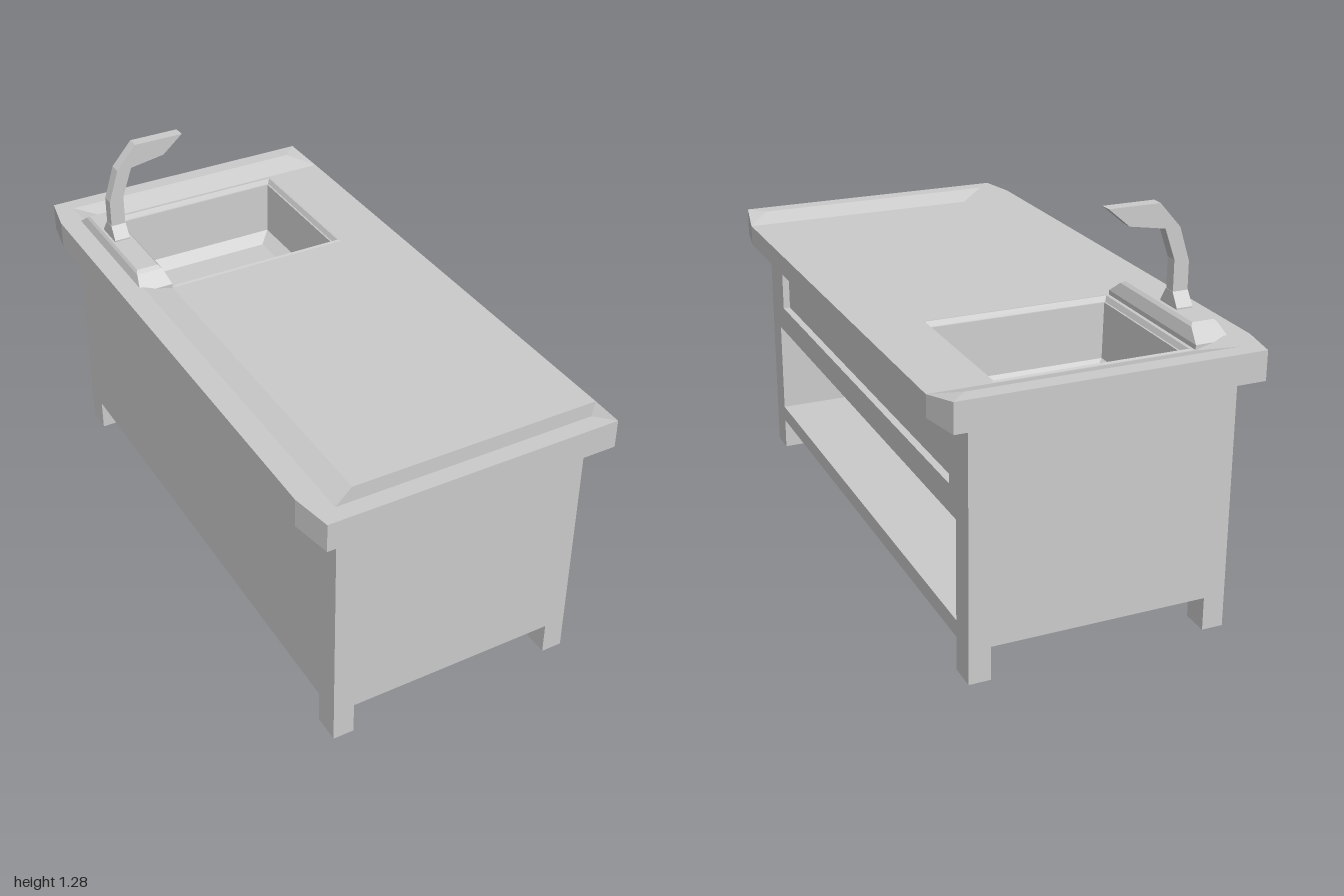
import * as THREE from 'three';
import { mergeGeometries } from 'three/addons/utils/BufferGeometryUtils.js';

const material = new THREE.MeshStandardMaterial({ color: 0xcccccc, flatShading: true });

function add(group, name, geometry) {
  const mesh = new THREE.Mesh(geometry, material);
  mesh.name = name;
  group.add(mesh);
  return mesh;
}

// box given by its limits on each axis
function box(group, name, [x0, x1], [y0, y1], [z0, z1]) {
  const mesh = add(group, name, new THREE.BoxGeometry(x1 - x0, y1 - y0, z1 - z0));
  mesh.position.set((x0 + x1) / 2, (y0 + y1) / 2, (z0 + z1) / 2);
}

// flat faces, corners anticlockwise as seen from outside
function faces(polygons) {
  const p = [];
  for (const f of polygons)
    for (let i = 1; i < f.length - 1; i++) p.push(...f[0], ...f[i], ...f[i + 1]);
  const g = new THREE.BufferGeometry();
  g.setAttribute('position', new THREE.Float32BufferAttribute(p, 3));
  g.computeVertexNormals();
  return g;
}

// skin between rectangular rings [x0, x1, y, z0, z1], closed at the last ring
function loft(rings) {
  const loops = rings.map(([x0, x1, y, z0, z1]) =>
    [[x0, y, z1], [x1, y, z1], [x1, y, z0], [x0, y, z0]]);
  const out = [loops[loops.length - 1]];
  for (let r = 0; r < loops.length - 1; r++)
    for (let k = 0; k < 4; k++) {
      const n = (k + 1) % 4;
      out.push([loops[r][k], loops[r][n], loops[r + 1][n], loops[r + 1][k]]);
    }
  return faces(out);
}

const points = (list) => list.map(([x, y]) => new THREE.Vector2(x, y));
const rect = (x0, x1, y0, y1) => points([[x0, y0], [x1, y0], [x1, y1], [x0, y1]]);

function shapeOf(outline, ...holes) {
  const s = new THREE.Shape(outline);
  holes.forEach((h) => s.holes.push(new THREE.Path(h)));
  return s;
}

// side profile (across, up) extruded along x from x0 to x1
function sideExtrude(shape, x0, x1) {
  return new THREE.ExtrudeGeometry(shape, { depth: x1 - x0, bevelEnabled: false })
    .rotateY(Math.PI / 2).translate(x0, 0, 0);
}

const SINK = { x0: -0.325, x1: 0.315, z0: -0.86, z1: -0.325 };

function buildCabinet() {
  const g = new THREE.Group();
  g.name = 'cabinet';
  const shelf = rect(-0.855, 0.855, 0.165, 0.49);
  const drawer = rect(-0.805, 0.805, 0.58, 0.78);
  add(g, 'openFrame', sideExtrude(shapeOf(rect(-0.945, 0.945, 0.11, 0.82), shelf, drawer), 0.395, 0.42));
  add(g, 'shelfCompartment', sideExtrude(shapeOf(rect(-0.945, 0.945, 0.11, 0.58), shelf), -0.395, 0.395));
  box(g, 'backPanel', [-0.425, -0.395], [0.11, 0.82], [-0.945, 0.945]);
  box(g, 'drawerPanel', [0.38, 0.396], [0.57, 0.8], [-0.83, 0.83]);
  for (const s of [-1, 1]) {
    box(g, 'endPanel', [-0.395, 0.395], [0.58, 0.82], [s * 0.93 - 0.015, s * 0.93 + 0.015]);
    for (const x of [-0.425, 0.35])
      box(g, 'leg', [x, x + 0.07], [0, 0.11], [s * 0.9 - 0.045, s * 0.9 + 0.045]);
  }
  return g;
}

function buildCountertop() {
  const hi = 0.915, lo = 0.89, base = 0.82, zc = 0.865;
  const outline = [[-0.485, hi, 1], [0.485, hi, 1], [0.51, lo, zc], [0.51, lo, -zc],
    [0.485, hi, -1], [-0.485, hi, -1], [-0.51, hi, -zc], [-0.51, hi, zc]];
  const polys = outline.map((a, i) => {
    const b = outline[(i + 1) % outline.length];
    return [[a[0], base, a[2]], [b[0], base, b[2]], b, a];
  });
  // raised rim and slope at both ends
  for (const s of [1, -1]) {
    const F = [-0.485, hi, s], E = [0.485, hi, s], D = [0.51, lo, s * zc], G = [-0.51, hi, s * zc];
    const mL = [-0.43, hi, s * 0.945], mR = [0.43, hi, s * 0.945], inner = [-0.33, lo, s * zc];
    for (const f of [[F, E, mR, mL], [mL, mR, D, inner], [E, D, mR], [G, F, mL]])
      polys.push(s > 0 ? f : f.reverse());
  }
  // raised rim and slope along the closed side
  polys.push([[-0.51, hi, -zc], [-0.51, hi, zc], [-0.43, hi, 0.945], [-0.43, hi, -0.945]]);
  polys.push([[-0.43, hi, -0.945], [-0.43, hi, 0.945], [-0.33, lo, zc], [-0.33, lo, -zc]]);

  // worktop and underside, both open for the basin
  const { x0, x1, z0, z1 } = SINK;
  const top = new THREE.ShapeGeometry(shapeOf(rect(-0.33, 0.51, -zc, zc), rect(x0, x1, -z1, -z0)))
    .rotateX(-Math.PI / 2).translate(0, lo, 0);
  const under = new THREE.ShapeGeometry(
    shapeOf(points(outline.map((p) => [p[0], p[2]])), rect(x0, x1, z0, z1)))
    .rotateX(Math.PI / 2).translate(0, base, 0);
  const parts = [faces(polys), top.toNonIndexed(), under.toNonIndexed()];
  parts.forEach((p) => p.deleteAttribute('uv'));
  return mergeGeometries(parts);
}

function buildSink() {
  const g = new THREE.Group();
  g.name = 'sink';
  const { x0, x1, z0, z1 } = SINK;
  // lip, walls, sloped foot and floor as [inset, height]
  const steps = [[0, 0.89], [0.01, 0.892], [0.018, 0.875], [0.024, 0.875], [0.032, 0.69], [0.075, 0.66]];
  add(g, 'basin', loft(steps.map(([d, y]) => [x0 + d, x1 - d, y, z0 + d, z1 - d])));
  add(g, 'faucetLedge', loft([
    [-0.445, -0.33, 0.885, -0.862, -0.325],
    [-0.445, -0.33, 0.905, -0.862, -0.325],
    [-0.432, -0.342, 0.943, -0.812, -0.375],
    [-0.425, -0.352, 0.952, -0.8, -0.39],
  ]));
  add(g, 'faucetBase', loft([
    [-0.417, -0.363, 0.945, -0.69, -0.592],
    [-0.417, -0.363, 0.957, -0.69, -0.592],
    [-0.416, -0.364, 1.0, -0.66, -0.62],
  ]));
  const profile = points([[-0.415, 0.95], [-0.365, 0.95], [-0.365, 1.1], [-0.33, 1.2], [-0.21, 1.22],
    [-0.14, 1.28], [-0.31, 1.28], [-0.38, 1.2], [-0.415, 1.09]]);
  add(g, 'faucet', new THREE.ExtrudeGeometry(shapeOf(profile), { depth: 0.04, bevelEnabled: false })
    .translate(0, 0, -0.66));
  return g;
}

export function createModel() {
  const model = new THREE.Group();
  model.name = 'sinkCounter';
  model.add(buildCabinet());
  add(model, 'countertop', buildCountertop());
  model.add(buildSink());
  return model;
}
